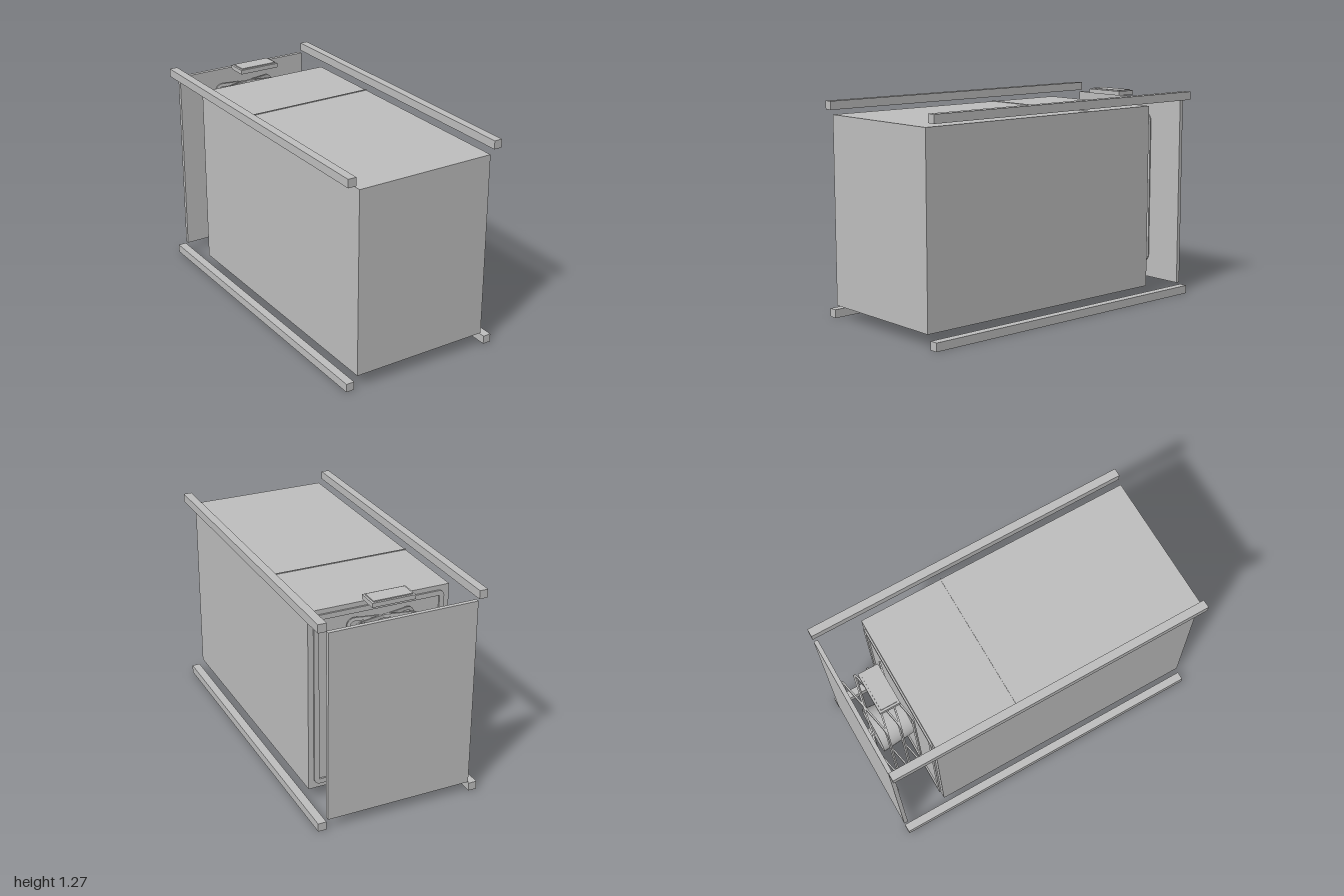
import * as THREE from 'three';

const grey = new THREE.MeshStandardMaterial({ color: 0xbfbfbf });
grey.name = 'grey';

export function createModel() {
  const model = new THREE.Group();
  model.name = 'cabinetAssembly';

  const add = (name, geometry, x, y, z, parent = model) => {
    const mesh = new THREE.Mesh(geometry, grey);
    mesh.name = name;
    mesh.position.set(x, y, z);
    parent.add(mesh);
    return mesh;
  };
  const box = (w, h, d) => new THREE.BoxGeometry(w, h, d);

  // Rounded rectangle outline, used for frames and their openings
  const roundRect = (Type, w, h, r) => {
    const p = new Type();
    const a = w / 2 - r, b = h / 2 - r;
    p.absarc(a, b, r, 0, Math.PI / 2);
    p.absarc(-a, b, r, Math.PI / 2, Math.PI);
    p.absarc(-a, -b, r, Math.PI, Math.PI * 1.5);
    p.absarc(a, -b, r, Math.PI * 1.5, Math.PI * 2);
    p.closePath();
    return p;
  };
  const frame = (w, h, r, band, depth) => {
    const shape = roundRect(THREE.Shape, w, h, r);
    shape.holes.push(roundRect(THREE.Path, w - 2 * band, h - 2 * band, r - band));
    const g = new THREE.ExtrudeGeometry(shape, { depth, bevelEnabled: false, curveSegments: 6 });
    return g.translate(0, 0, -depth / 2);
  };

  // Four corner rails
  for (const x of [-0.475, 0.475]) {
    for (const y of [0.025, 1.245]) add('cornerRail', box(0.05, 0.05, 2), x, y, 0);
  }

  // Main cabinet, its top seam strip and rear gasket
  add('cabinet', box(0.855, 1.115, 1.71), -0.002, 0.638, 0.145);
  add('topSeam', box(0.862, 0.005, 0.006), -0.002, 1.1975, -0.2);
  add('rearGasket', frame(0.79, 1.06, 0.035, 0.03, 0.01), -0.002, 0.638, -0.715);

  // Separate back panel
  add('backPanel', box(0.885, 1.15, 0.025), -0.002, 0.636, -0.9875);

  // Floating handle with a thin raised plate
  add('handle', box(0.26, 0.026, 0.125), 0, 1.248, -0.818);
  add('handlePlate', box(0.235, 0.006, 0.1), 0, 1.264, -0.818);

  // Folding bellows: crossed rounded frames, three pairs deep
  const bellows = new THREE.Group();
  bellows.name = 'foldingFrames';
  model.add(bellows);
  const step = 0.081, span = 0.408;
  const loop = frame(Math.hypot(step, span), 0.965, 0.05, 0.02, 0.01);
  for (let i = 0; i < 3; i++) {
    for (const s of [-1, 1]) {
      add('foldingFrame', loop, 0, 0.638, -0.725 - step * (i + 0.5), bellows)
        .rotation.y = s * Math.atan2(step, span);
    }
  }

  // Tapered drum with its shaft and mounting flange
  const along = (r1, r2, length) =>
    new THREE.CylinderGeometry(r1, r2, length, 40).rotateX(-Math.PI / 2);
  add('drum', along(0.14, 0.122, 0.21), 0, 0.638, -0.815);
  add('shaft', along(0.025, 0.025, 0.055), 0, 0.638, -0.947);
  add('shaftFlange', along(0.07, 0.07, 0.008), 0, 0.638, -0.971);

  // Small tilted connector near the bottom of the back panel
  const connector = new THREE.Group();
  connector.name = 'connector';
  connector.position.set(-0.205, 0.1, -0.947);
  connector.rotation.z = 0.15;
  model.add(connector);
  add('connectorBody', box(0.06, 0.05, 0.034), -0.012, -0.01, 0, connector);
  add('connectorArm', box(0.04, 0.025, 0.022), 0.032, -0.018, 0, connector);
  add('connectorNeck', new THREE.CylinderGeometry(0.015, 0.015, 0.03, 16), -0.015, 0.025, 0, connector);
  add('connectorFoot', box(0.045, 0.012, 0.028), -0.012, -0.036, 0, connector);

  return model;
}
